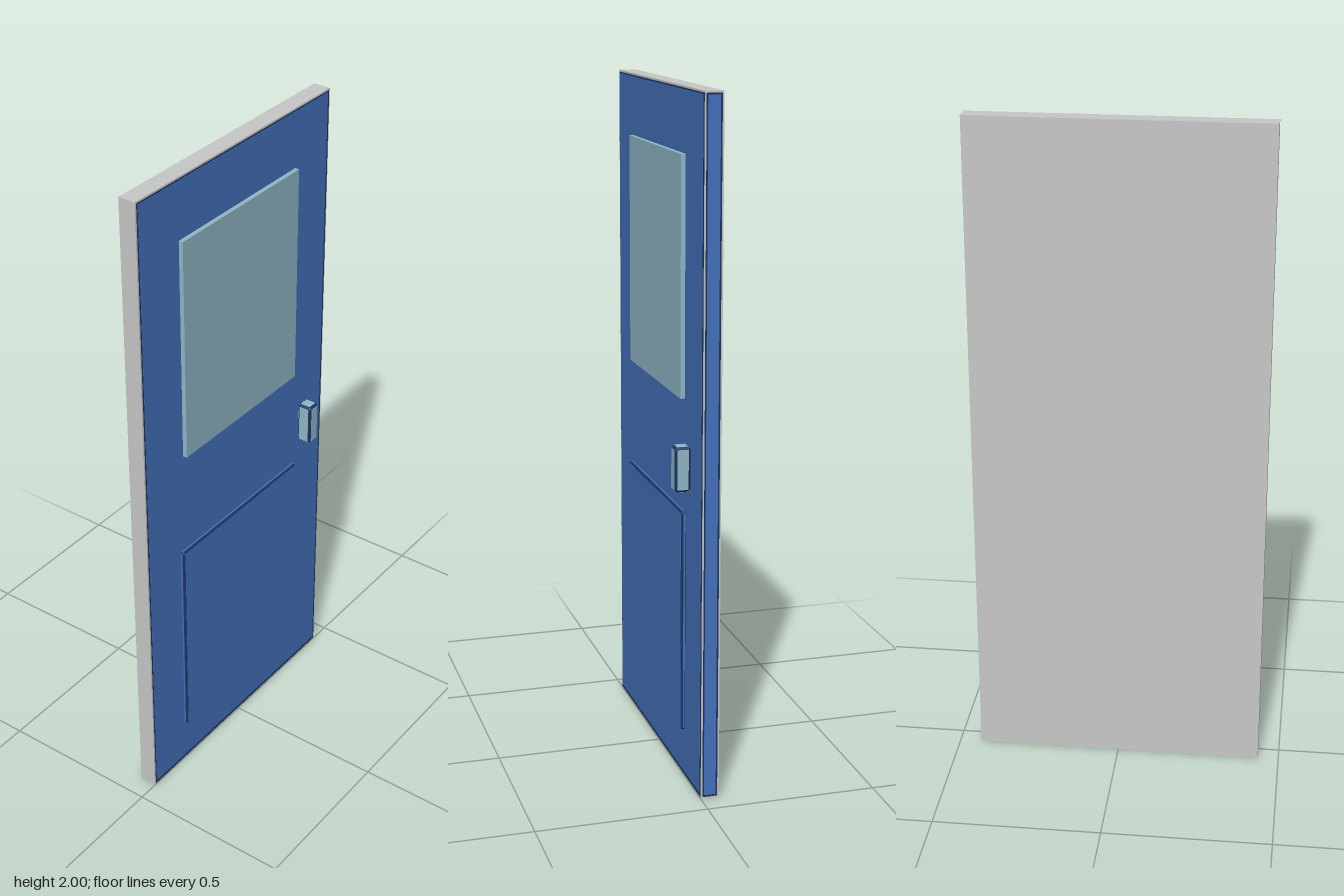
import * as THREE from 'three';
import { ConvexGeometry } from 'three/addons/geometries/ConvexGeometry.js';

const mat = (name, color) => {
  const m = new THREE.MeshStandardMaterial({ color });
  m.name = name;
  return m;
};

export function createModel() {
  const door = new THREE.Group();
  door.name = 'door';
  const grey = mat('backing grey', 0xc8c8c8);
  const blue = mat('door blue', 0x4472be);
  const navy = mat('edge navy', 0x1c345e);
  const glass = mat('pale glass', 0x92b8c9);

  // Box given by its lowest and highest corners
  const box = (name, material, lo, hi, parent = door) => {
    const size = hi.map((v, i) => v - lo[i]);
    const mesh = new THREE.Mesh(new THREE.BoxGeometry(...size), material);
    mesh.position.set(...hi.map((v, i) => (v + lo[i]) / 2));
    mesh.name = name;
    parent.add(mesh);
    return mesh;
  };

  // Chamfered box: dark bevelled core with coloured flat faces
  const bevelledBox = (name, face, lo, hi, b) => {
    const group = new THREE.Group();
    group.name = name;
    const e = 0.0006, points = [];
    for (let axis = 0; axis < 3; axis++) {
      for (let k = 0; k < 8; k++) {
        points.push(new THREE.Vector3(...[0, 1, 2].map((i) => {
          const inset = i === axis ? 0 : b;
          return (k >> i) & 1 ? hi[i] - inset : lo[i] + inset;
        })));
      }
      box(name + 'Face', face,
        lo.map((v, i) => (i === axis ? v - e : v + b)),
        hi.map((v, i) => (i === axis ? v + e : v - b)), group);
    }
    const core = new THREE.Mesh(new ConvexGeometry(points), navy);
    core.name = name + 'Bevel';
    group.add(core);
    door.add(group);
  };

  // Grey slab showing on the back, top and right side
  box('backing', grey, [-0.436, 0.002, -0.053], [0.434, 2, 0]);

  // Painted skins with a dark edge on the front, left side and underside
  box('frontEdge', navy, [-0.431, 0.005, -0.01], [0.430, 1.995, 0.001]);
  box('frontSkin', blue, [-0.427, 0.015, -0.01], [0.423, 1.991, 0.002]);
  box('sideEdge', navy, [0.425, 0.006, -0.048], [0.435, 1.995, -0.004]);
  box('sideSkin', blue, [0.425, 0.012, -0.043], [0.436, 1.99, -0.008]);
  box('bottomEdge', navy, [-0.431, 0.001, -0.048], [0.430, 0.01, -0.004]);
  box('bottomSkin', blue, [-0.426, 0, -0.043], [0.425, 0.01, -0.008]);

  // Window, lower panel and handle
  box('window', glass, [-0.265, 1.14, -0.005], [0.267, 1.82, 0.015]);
  bevelledBox('lowerPanel', blue, [-0.286, 0.15, -0.002], [0.282, 0.814, 0.015], 0.006);
  bevelledBox('handle', glass, [0.299, 0.89, 0.006], [0.343, 1.02, 0.052], 0.007);

  return door;
}
